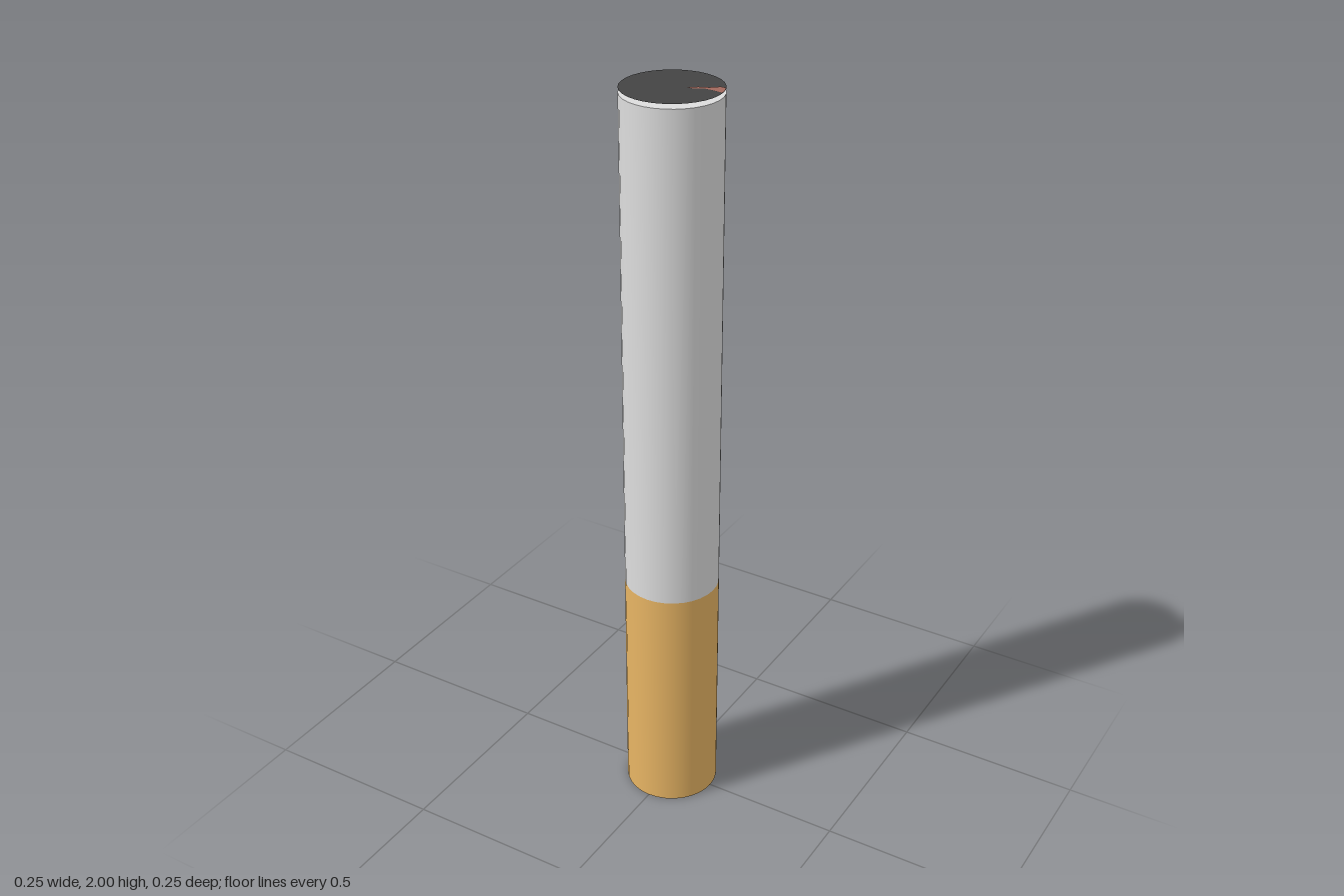
import * as THREE from 'three';

const RADIUS = 0.125;
const SIDES = 32;

function makeMaterial(name, color, side = THREE.FrontSide) {
  const material = new THREE.MeshStandardMaterial({ color, side });
  material.name = name;
  return material;
}

export function createModel() {
  const group = new THREE.Group();
  group.name = 'rolledStick';

  const paper = makeMaterial('paper white', 0xdddddd);
  const tan = makeMaterial('filter tan', 0xe8b564);
  const ash = makeMaterial('ash grey', 0x444444, THREE.DoubleSide);
  const ember = makeMaterial('ember red', 0xa2695d);

  function add(name, geometry, material, y) {
    const mesh = new THREE.Mesh(geometry, material);
    mesh.name = name;
    mesh.position.y = y;
    group.add(mesh);
  }

  // Upright tube section between two heights
  function section(name, bottom, top, material) {
    const geometry = new THREE.CylinderGeometry(RADIUS, RADIUS, top - bottom, SIDES);
    add(name, geometry, material, (bottom + top) / 2);
  }
  section('filter', 0, 0.655, tan);
  section('paperBody', 0.655, 1.987, paper);

  // Thin ash disc held just above the paper
  const disc = new THREE.CircleGeometry(RADIUS, SIDES).rotateX(-Math.PI / 2);
  add('ashDisc', disc, ash, 1.999);

  // Small glowing sliver on the ash, reaching the rim
  const sliver = new THREE.Shape([
    [0.03, 0.01], [0.05, 0.008], [0.07, 0.021], [0.095, 0.021], [0.123, 0.016],
    [0.121, 0.031], [0.113, 0.053], [0.098, 0.053], [0.078, 0.035], [0.055, 0.026],
  ].map(([x, y]) => new THREE.Vector2(x, y)));
  add('emberSliver', new THREE.ShapeGeometry(sliver).rotateX(-Math.PI / 2), ember, 2);

  return group;
}
